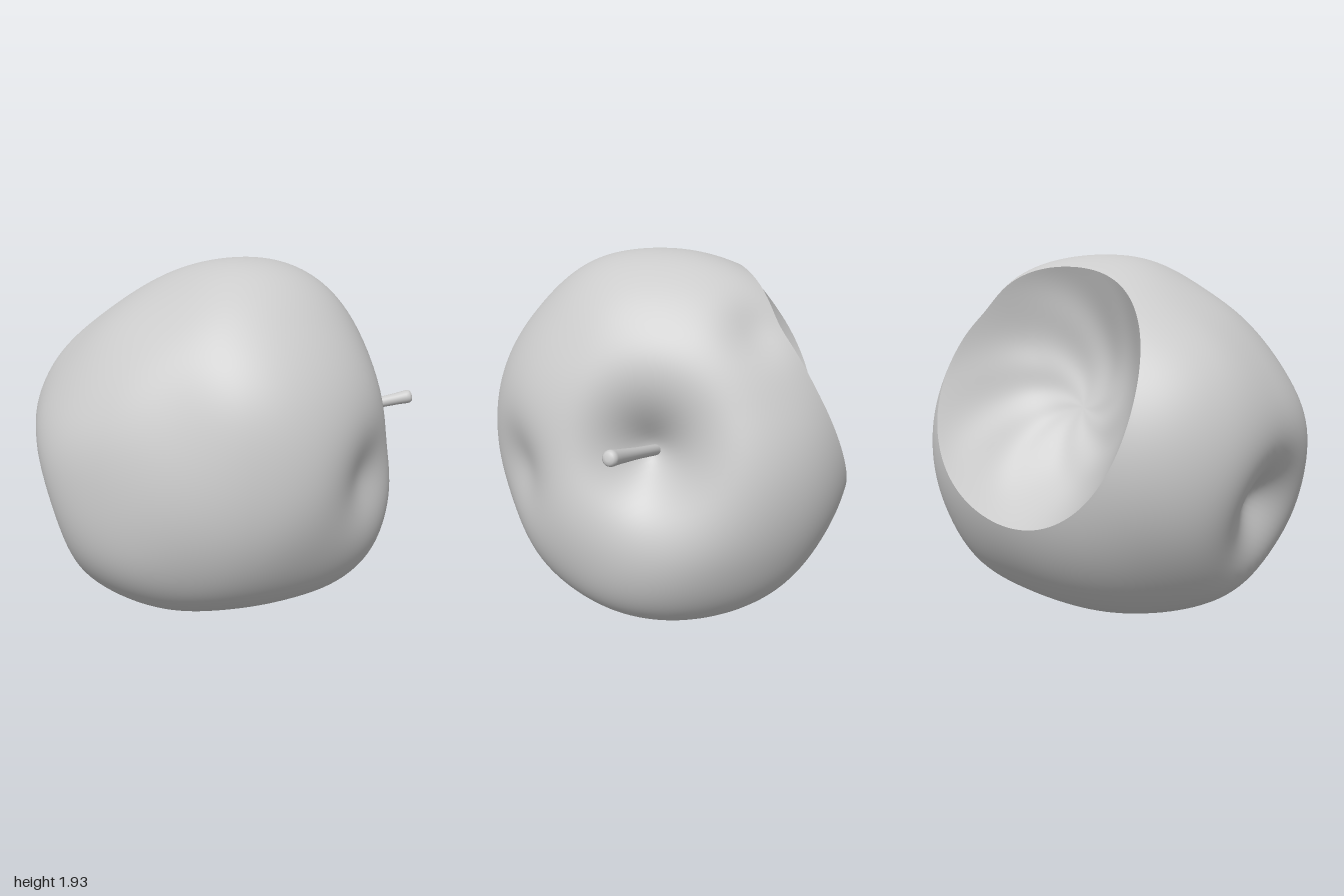
import * as THREE from 'three';
import { mergeVertices } from 'three/addons/utils/BufferGeometryUtils.js';

const V = (x, y, z) => new THREE.Vector3(x, y, z);
const CENTRE = V(0, 0.97, 0);

// Outline radii every 22.5 degrees: x-y plane from +x, z-y plane from +z, x-z plane from +x
const OUT_XY = [1.0, .945, .935, .96, .93, .88, .89, .92, 1.0, 1.02, .995, .98, .962, 1.02, 1.07, 1.04];
const OUT_ZY = [.945, .955, .95, .965, .935, .925, .94, .945, .95, .96, .965, .97, .962, .93, .935, .93];
const OUT_XZ = [1.0, .915, .92, .95, .945, .895, .865, .91, 1.0, 1.005, 1.035, 1.015, .95, .97, 1.0, 1.015];

// Swellings (+) and dents (-) of the flesh: direction, height, angular width
const FORMS = [
  [V(.92, .14, .33), -.29, .21],     // stem cavity
  [V(-.66, -.235, -.265), -.2, .18], // blossom end
  [V(.32, -.05, .78), -.09, .17],    // front dimple
  [V(.7, .66, -.24), -.04, .1],      // shoulder dimple
  [V(.15, -.82, .45), -.015, .12],   // underside dimple
  [V(.25, .9, .3), .04, .35],        // crown
  [V(.58, .68, -.25), .065, .28],    // shoulder
  [V(.46, -.62, .69), .075, .32],    // lower front cheek
  [V(.72, -.25, .62), .025, .25],    // cheek beside the stem
  [V(-.7, -.35, .65), .045, .32],    // front cheek at the blossom end
  [V(.85, -.25, -.5), .025, .32],    // back cheek
  [V(-.68, -.65, -.3), .06, .26],    // lobe under the blossom end
  [V(-.2, -.85, -.4), .015, .3],     // underside
].map(([d, height, width]) => [d.normalize(), height, width]);

// Bite: an ellipsoid (axes U, T, N) whose crossing with the skin gives the rim
const N = V(.158, .42, -.89).normalize();
const T = V(0, .905, .425).normalize();
const U = new THREE.Vector3().crossVectors(T, N).normalize();
const BITE = V(.295, 1.39, -.92);
const FLOOR = V(.12, 1.14, -.31);

// Smooth periodic lookup of an outline
function outline(table, a, b) {
  const n = table.length;
  const t = ((Math.atan2(b, a) / (2 * Math.PI) + 1) % 1) * n;
  const i = Math.floor(t), f = t - i;
  const [p, q, r, s] = [-1, 0, 1, 2].map(k => table[(i + k + n) % n]);
  return q + .5 * f * (r - p + f * (2 * p - 5 * q + 4 * r - s + f * (3 * (q - r) + s - p)));
}

// Skin point in a direction: blend of the three outlines, plus the local forms
function skinPoint(d) {
  const w = c => (1 - c * c) ** 2 / (c * c + .08);
  const wx = w(d.x), wy = w(d.y), wz = w(d.z);
  let r = (wz * outline(OUT_XY, d.x, d.y) + wx * outline(OUT_ZY, d.z, d.y)
    + wy * outline(OUT_XZ, d.x, d.z)) / (wx + wy + wz);
  for (const [dir, height, width] of FORMS) {
    const a = d.angleTo(dir) / width;
    r += height * Math.exp(-a * a / 2);
  }
  return d.clone().multiplyScalar(r).add(CENTRE);
}

function insideBite(p) {
  const o = p.clone().sub(BITE);
  return (o.dot(U) / .63) ** 2 + (o.dot(T) / .81) ** 2 + (o.dot(N) / .66) ** 2 < 1;
}

// Polar directions around the middle of the bite
const POLE = V(.22, .3, -.68).normalize();
const E1 = new THREE.Vector3().crossVectors(V(0, 1, 0), POLE).normalize();
const E2 = new THREE.Vector3().crossVectors(POLE, E1);
function polar(theta, phi) {
  return POLE.clone().multiplyScalar(Math.cos(theta))
    .addScaledVector(E1, Math.sin(theta) * Math.cos(phi))
    .addScaledVector(E2, Math.sin(theta) * Math.sin(phi));
}

// Angle from the pole to the bite rim
function rimAngle(phi) {
  let lo = 0, hi = 1.3;
  for (let i = 0; i < 24; i++) {
    const mid = (lo + hi) / 2;
    if (insideBite(skinPoint(polar(mid, phi)))) lo = mid; else hi = mid;
  }
  return lo;
}

// Closed rings of points, point(s, column) with s from 0 to 1
function ringSurface(rings, sides, point) {
  const pos = [], index = [];
  for (let i = 0; i <= rings; i++) {
    for (let j = 0; j < sides; j++) {
      pos.push(...point(i / rings, j).toArray());
      if (i === rings) continue;
      const a = i * sides + j, b = i * sides + (j + 1) % sides;
      index.push(a, a + sides, b, b, a + sides, b + sides);
    }
  }
  let g = new THREE.BufferGeometry();
  g.setAttribute('position', new THREE.Float32BufferAttribute(pos, 3));
  g.setIndex(index);
  g = mergeVertices(g, 1e-5);
  g.computeVertexNormals();
  return g;
}

export function createModel() {
  const group = new THREE.Group();
  const material = new THREE.MeshStandardMaterial({ color: 0xcccccc, side: THREE.DoubleSide });
  const add = (name, geometry) => {
    const mesh = new THREE.Mesh(geometry, material);
    mesh.name = name;
    group.add(mesh);
    return mesh;
  };

  const SIDES = 160;
  const phis = Array.from({ length: SIDES }, (_, j) => j / SIDES * 2 * Math.PI);
  const rims = phis.map(rimAngle);

  // Skin from the bite rim round to the far side
  add('skin', ringSurface(130, SIDES, (s, j) =>
    skinPoint(polar(THREE.MathUtils.lerp(rims[j], Math.PI, s), phis[j]))));

  // Bowl of the bite, with shallow wrinkles between floor and rim
  const rimPoints = phis.map((phi, j) => skinPoint(polar(rims[j], phi)));
  add('biteHollow', ringSurface(44, SIDES, (s, j) => {
    const out = rimPoints[j].clone().sub(FLOOR);
    const rise = out.dot(N);
    const phi = phis[j];
    const wrinkle = .06 * s * s * (1 - s)
      * (Math.sin(3 * phi + 4 * s) + .7 * Math.sin(7 * phi - 9 * s + 1));
    return FLOOR.clone()
      .addScaledVector(out.addScaledVector(N, -rise), s)
      .addScaledVector(N, rise * s ** 2.2 + wrinkle);
  }));

  // Stem, thicker at its rounded tip
  const base = V(.55, 1.04, .17), tip = V(.965, 1.175, .495);
  const length = base.distanceTo(tip);
  const profile = [[.026, 0], [.027, .5 * length], [.033, .85 * length], [.037, length - .03],
    [.035, length - .015], [.026, length - .004], [.012, length], [0, length]];
  const stem = add('stem', new THREE.LatheGeometry(
    profile.map(([r, y]) => new THREE.Vector2(r, y)), 24));
  stem.position.copy(base);
  stem.quaternion.setFromUnitVectors(V(0, 1, 0), tip.clone().sub(base).normalize());

  return group;
}
